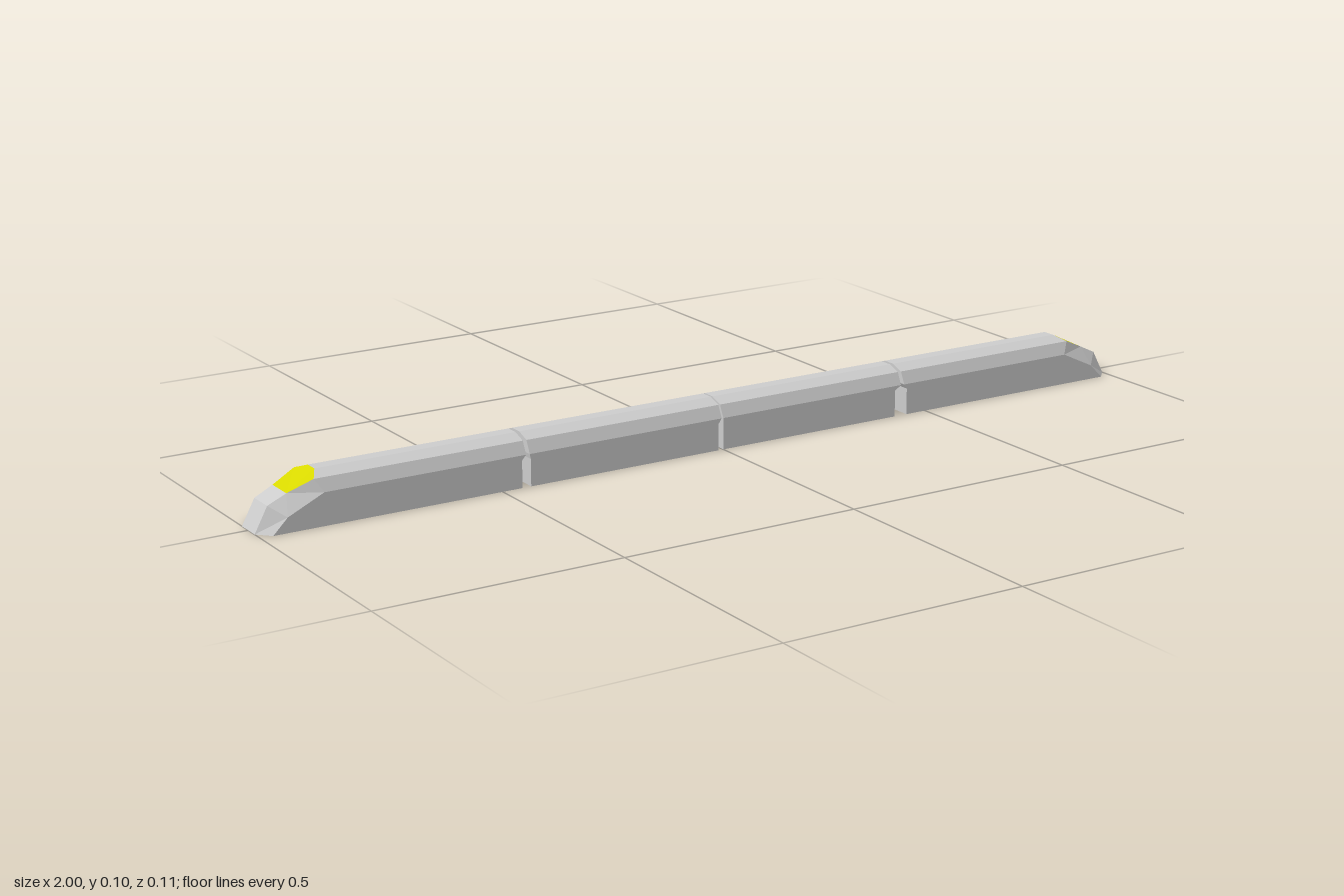
import * as THREE from 'three';

const body = new THREE.MeshStandardMaterial({ color: 0xcccccc, flatShading: true, side: THREE.DoubleSide });
const glass = new THREE.MeshStandardMaterial({ color: 0xd8d800, flatShading: true, side: THREE.DoubleSide });

// Half cross-section of a car, [y, z] from skirt to roof
const half = [[0, 0.054], [0.055, 0.054], [0.065, 0.054], [0.09, 0.042], [0.1, 0.014]];
const flip = ([x, y, z]) => [x, y, -z];

// Convex polygons become flat triangles that face away from the middle of the car
function facets(name, polygons, middleX, material) {
  const centre = new THREE.Vector3(middleX, 0.03, 0);
  const positions = [];
  for (const polygon of polygons) {
    const p = polygon.map((c) => new THREE.Vector3(...c));
    for (let i = 1; i < p.length - 1; i++) {
      const tri = [p[0], p[i], p[i + 1]];
      const normal = tri[1].clone().sub(tri[0]).cross(tri[2].clone().sub(tri[0]));
      if (normal.dot(tri[0].clone().sub(centre)) < 0) tri.reverse();
      tri.forEach((v) => positions.push(v.x, v.y, v.z));
    }
  }
  const geometry = new THREE.BufferGeometry();
  geometry.setAttribute('position', new THREE.Float32BufferAttribute(positions, 3));
  geometry.computeVertexNormals();
  const mesh = new THREE.Mesh(geometry, material);
  mesh.name = name;
  return mesh;
}

// Ring across a car end whose lower part is set apart from the upper part
function endRing(upper, lower) {
  const side = half.map(([y, z]) => [y < 0.06 ? lower : upper, y, z]);
  return [...side, ...side.map(flip).reverse()];
}

// Ring where the nose meets the straight body
function noseRing(s) {
  const x = [0.87, 0.87, 0.87, 0.885, 0.87];
  const side = half.map(([y, z], i) => [s * x[i], y, z]);
  return [...side, ...side.map(flip).reverse()];
}

// Walls and roof between two rings, open underneath
function shell(a, b) {
  const quads = [];
  for (let i = 0; i < a.length - 1; i++) quads.push([a[i], b[i], b[i + 1], a[i + 1]]);
  return quads;
}

// End wall made of strips across the car
function endWall(r) {
  const n = r.length, strips = [];
  for (let i = 0; i < n / 2 - 1; i++) strips.push([r[i], r[i + 1], r[n - 2 - i], r[n - 1 - i]]);
  return strips;
}

// Faceted nose; s = +1 or -1 picks the end of the train
function nose(s) {
  const P = (x, y, z) => [s * x, y, z];
  const tipLow = P(1, 0, 0.028), tipTop = P(0.973, 0.05, 0.028), screenLow = P(0.935, 0.068, 0.03);
  const sideLow = P(0.975, 0, 0.054), sideTop = P(0.945, 0.03, 0.054);
  const ring = noseRing(s);
  const [base, , shoulder, cheek, crown] = ring;
  const right = [
    [tipLow, sideLow, sideTop, tipTop],
    [tipTop, sideTop, screenLow],
    [screenLow, sideTop, shoulder],
    [screenLow, shoulder, cheek],
    [sideLow, base, shoulder, sideTop],
  ];
  const panels = [
    ...right, ...right.map((p) => p.map(flip)),
    [tipLow, tipTop, flip(tipTop), flip(tipLow)],
    [tipTop, screenLow, flip(screenLow), flip(tipTop)],
  ];
  const group = new THREE.Group();
  group.name = s > 0 ? 'leftNose' : 'rightNose';
  group.add(
    facets('nosePanels', panels, s * 0.8, body),
    facets('windscreen', [[screenLow, cheek, crown, flip(crown), flip(cheek), flip(screenLow)]], s * 0.8, glass),
  );
  return group;
}

export function createModel() {
  const train = new THREE.Group();
  train.name = 'train';

  // Car ends as [upper x, lower x]; null marks a nose
  const cars = [
    [null, [-0.448, -0.457]],
    [[-0.44, -0.438], [-0.004, -0.011]],
    [[0, 0], [0.437, 0.422]],
    [[0.445, 0.452], null],
  ];
  cars.forEach(([start, end], i) => {
    const a = start ? endRing(...start) : noseRing(-1);
    const b = end ? endRing(...end) : noseRing(1);
    const middle = (a[2][0] + b[2][0]) / 2;
    const car = new THREE.Group();
    car.name = `car${i + 1}`;
    car.add(facets('carBody', shell(a, b), middle, body));
    if (start) car.add(facets('endWall', endWall(a), middle, body));
    else car.add(nose(-1));
    if (end) car.add(facets('endWall', endWall(b), middle, body));
    else car.add(nose(1));
    train.add(car);
  });
  return train;
}
